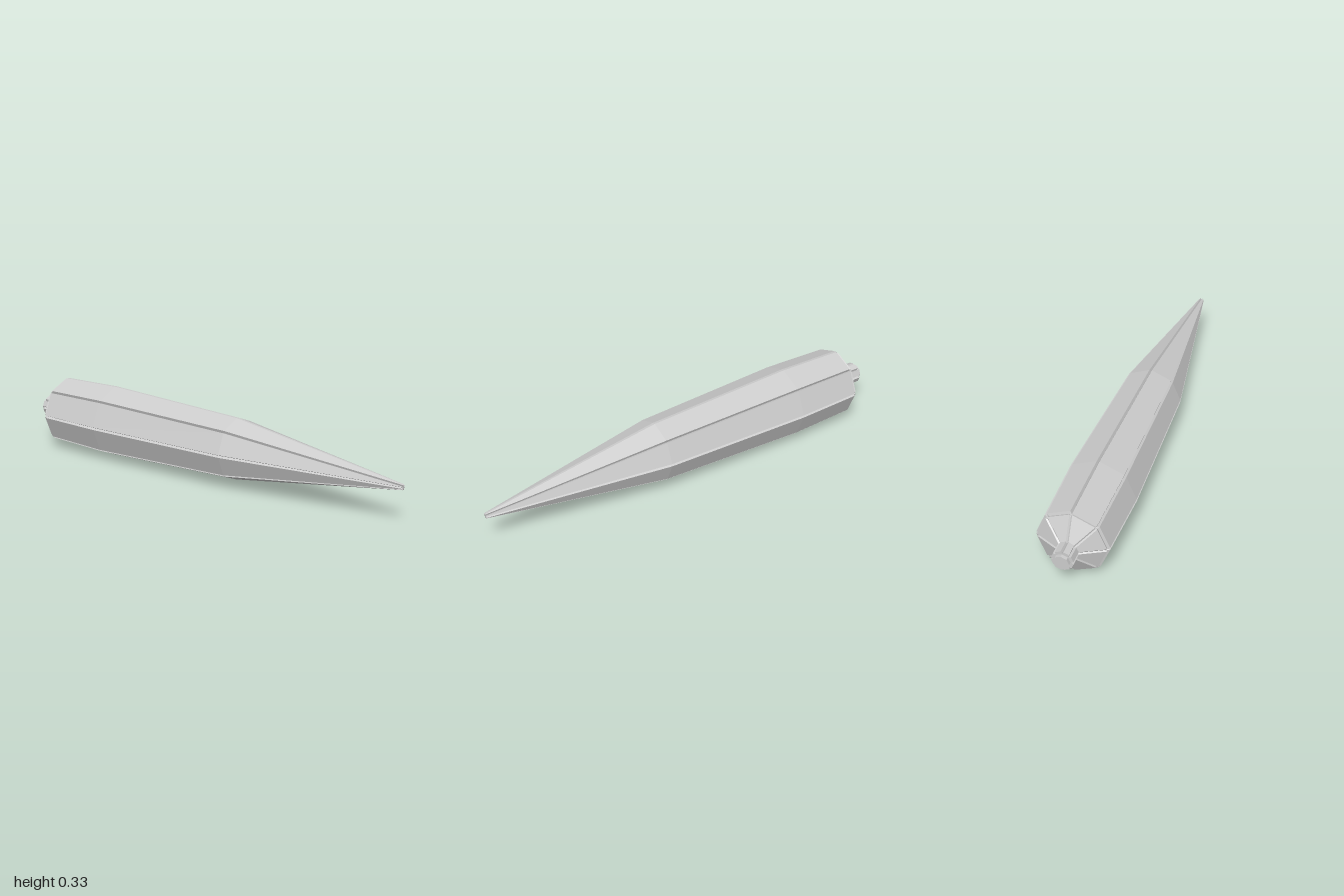
import * as THREE from 'three';

const SIDES = 8;
const CENTER_Y = 0.168;
const GROOVE = 0.006; // half width of the seam between panels

const material = new THREE.MeshStandardMaterial({ color: 0xcccccc, flatShading: true });

// Octagonal cross-section whose corners are cut by small V grooves
function ring(z, radius, depth) {
  const half = Math.min(GROOVE, radius * 0.3);
  const points = [];
  for (let i = 0; i < SIDES; i++) {
    const a = (i / SIDES) * Math.PI * 2;
    const c = Math.cos(a), s = Math.sin(a);
    for (const [r, t] of [[radius, -half], [radius - depth, 0], [radius, half]]) {
      points.push(new THREE.Vector3(r * c - t * s, r * s + t * c, z));
    }
  }
  return points;
}

// Skin over a list of [z, radius, grooveDepth], running front to back
function loft(profile, capFront, capBack) {
  const rings = profile.map((p) => ring(...p));
  const n = SIDES * 3;
  const pos = [];
  const tri = (...v) => v.forEach((p) => pos.push(p.x, p.y, p.z));
  for (let i = 0; i < rings.length - 1; i++) {
    for (let j = 0; j < n; j++) {
      const k = (j + 1) % n;
      const a = rings[i][j], b = rings[i][k], c = rings[i + 1][k], d = rings[i + 1][j];
      tri(a, d, c);
      tri(a, c, b);
    }
  }
  const cap = (points, front) => {
    const mid = new THREE.Vector3(0, 0, points[0].z);
    for (let j = 0; j < n; j++) {
      const p = points[j], q = points[(j + 1) % n];
      if (front) tri(mid, p, q);
      else tri(mid, q, p);
    }
  };
  if (capFront) cap(rings[0], true);
  if (capBack) cap(rings[rings.length - 1], false);
  const geometry = new THREE.BufferGeometry();
  geometry.setAttribute('position', new THREE.Float32BufferAttribute(pos, 3));
  geometry.computeVertexNormals();
  return geometry;
}

export function createModel() {
  const model = new THREE.Group();
  model.name = 'grooved spike';

  const add = (name, geometry) => {
    const mesh = new THREE.Mesh(geometry, material);
    mesh.name = name;
    mesh.position.y = CENTER_Y;
    model.add(mesh);
    return mesh;
  };

  // Long tapering body, ending in the recess of the rim seam
  add('body', loft([
    [1, 0.012, 0.007],
    [0.16, 0.142, 0.012],
    [-0.55, 0.167, 0.012],
    [-0.862, 0.158, 0.012],
    [-0.866, 0.146, 0.002],
  ], true, false));

  // Sloping rear cover
  add('rearCover', loft([
    [-0.866, 0.146, 0.002],
    [-0.875, 0.149, 0.01],
    [-0.925, 0.048, 0.01],
  ], false, false));

  // Grooved neck
  add('neck', loft([
    [-0.925, 0.048, 0.01],
    [-0.985, 0.048, 0.01],
  ], false, true));

  // Plain octagonal pin at the rear end
  const pin = new THREE.CylinderGeometry(0.035, 0.035, 0.03, SIDES);
  pin.rotateX(Math.PI / 2);
  add('rearPin', pin).position.z = -0.985;

  return model;
}
